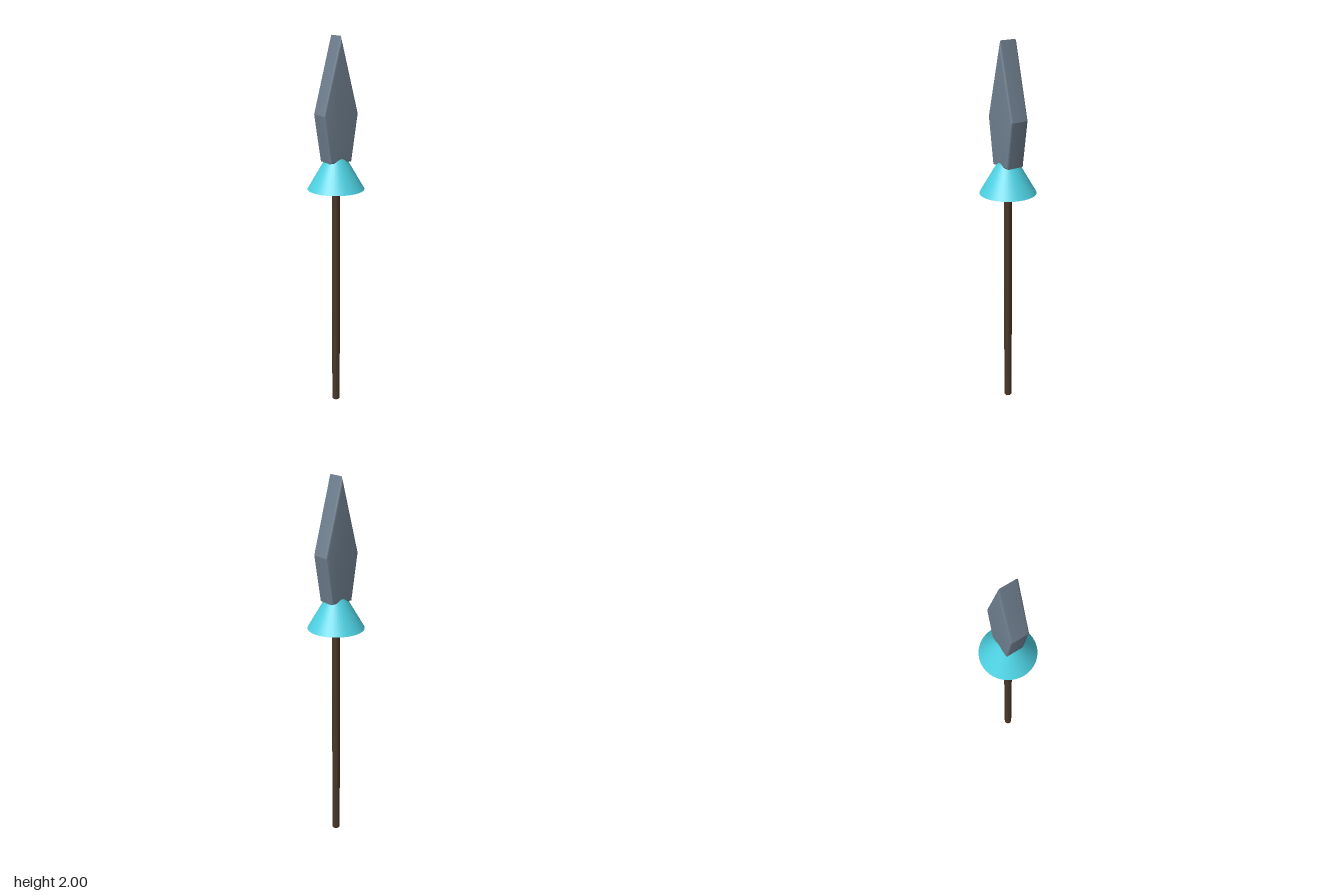
import * as THREE from 'three';
import { toCreasedNormals } from 'three/addons/utils/BufferGeometryUtils.js';

// Outline moved inward by d along its mitred corners (counter-clockwise points)
function inset(points, d) {
  const n = points.length;
  const normal = (a, b) => new THREE.Vector2(a.y - b.y, b.x - a.x).normalize();
  return points.map((p, i) => {
    const n1 = normal(points[(i + n - 1) % n], p);
    const n2 = normal(p, points[(i + 1) % n]);
    return n1.clone().add(n2).multiplyScalar(d / (1 + n1.dot(n2))).add(p);
  });
}

// Thick plate with rounded front and back rims, lofted from inset outlines
function roundedPlate(points, halfDepth, r, steps) {
  const rings = [];
  for (const side of [-1, 1]) {
    for (let i = 0; i <= steps; i++) {
      const a = (side < 0 ? steps - i : i) / steps * Math.PI / 2;
      const z = side * (halfDepth - r + r * Math.sin(a));
      rings.push(inset(points, r * (1 - Math.cos(a))).map(p => [p.x, p.y, z]));
    }
  }
  const n = points.length, last = (rings.length - 1) * n, index = [];
  for (let k = 0; k < rings.length - 1; k++) {
    for (let i = 0; i < n; i++) {
      const j = (i + 1) % n, a = k * n;
      index.push(a + i, a + j, a + n + j, a + i, a + n + j, a + n + i);
    }
  }
  for (let i = 1; i < n - 1; i++) {
    index.push(0, i + 1, i, last, last + i, last + i + 1);
  }
  const g = new THREE.BufferGeometry();
  g.setAttribute('position', new THREE.Float32BufferAttribute(rings.flat(2), 3));
  g.setIndex(index);
  return toCreasedNormals(g, 0.3);
}

export function createModel() {
  const model = new THREE.Group();
  const add = (name, geometry, color, y = 0) => {
    const mesh = new THREE.Mesh(geometry, new THREE.MeshStandardMaterial({ color }));
    mesh.name = name;
    mesh.position.y = y;
    model.add(mesh);
  };

  // Round pole with softened ends
  const profile = [[0, 0], [0.017, 0], [0.021, 0.005], [0.021, 1.295], [0.017, 1.3], [0, 1.3]]
    .map(([x, y]) => new THREE.Vector2(x, y));
  add('pole', toCreasedNormals(new THREE.LatheGeometry(profile, 20), 0.5), 0x4a3728);

  // Conical collar, closed underneath
  add('collar', new THREE.ConeGeometry(0.148, 0.253, 40), 0x4dd0e1, 1.225 + 0.1265);

  // Kite-shaped blade
  const outline = [[0, 2], [-0.102, 1.615], [-0.064, 1.37], [0.064, 1.37], [0.102, 1.615]]
    .map(([x, y]) => new THREE.Vector2(x, y));
  add('blade', roundedPlate(outline, 0.051, 0.01, 6), 0x708090);

  return model;
}
